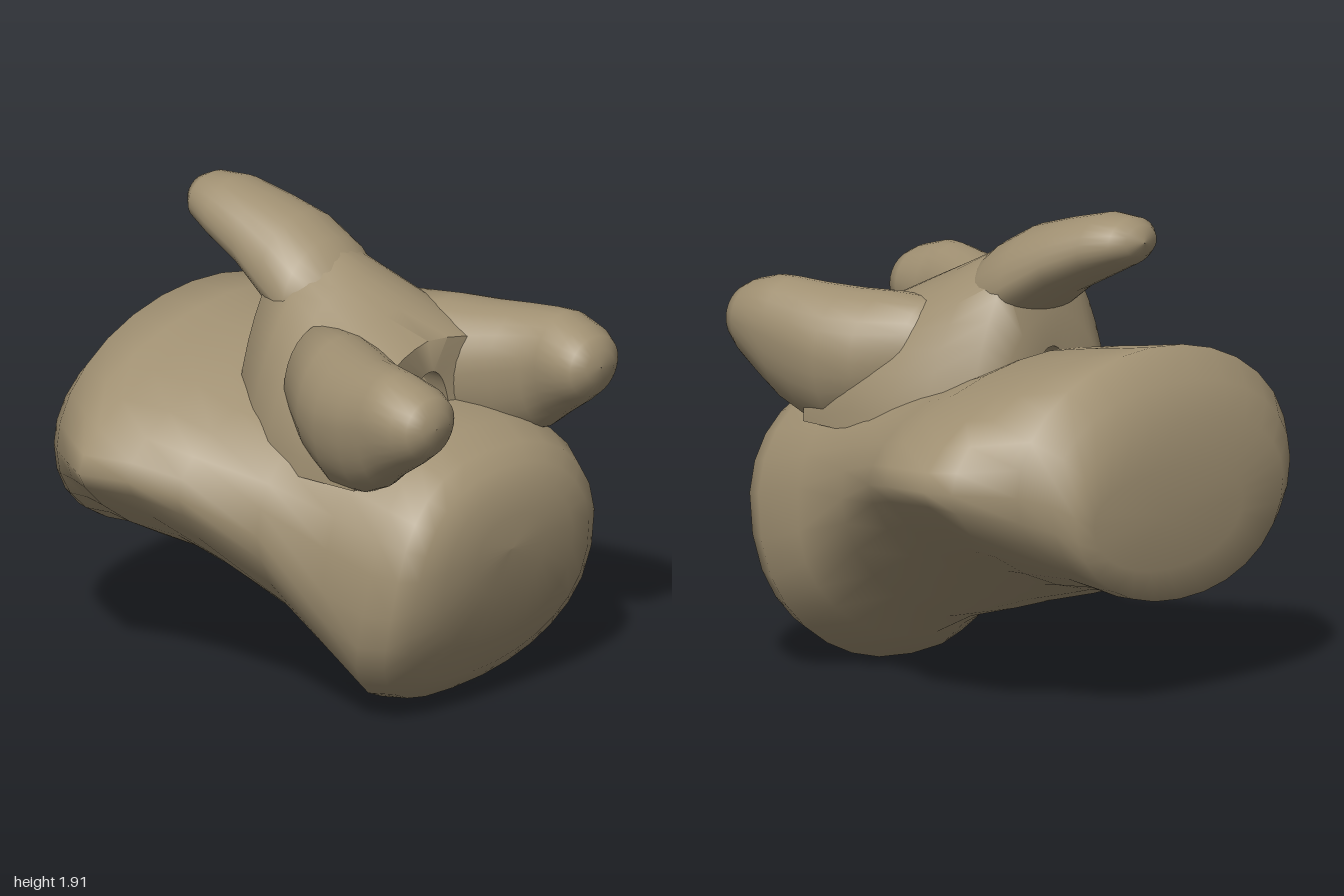
import * as THREE from 'three';
import { toCreasedNormals } from 'three/addons/utils/BufferGeometryUtils.js';

const SIDES = 28;

// Closed loft along z. Each row:
// [z, centreX, widestY, halfWidth, topY, bottomY, roundness, bow, lowerRoundness]
// bow pulls the section back as it leaves y = 0.82, for the bulging front face.
function loft(rows) {
  const pos = [], index = [];
  rows.forEach(([z, cx, cy, w, top, bottom, nTop = 2, bow = 0, nLow = nTop], i) => {
    for (let j = 0; j < SIDES; j++) {
      const a = (j / SIDES) * Math.PI * 2, c = Math.cos(a), s = Math.sin(a);
      const n = s > 0 ? nTop : nLow;
      const x = cx + w * Math.sign(c) * Math.abs(c) ** (2 / n);
      const y = cy + (s > 0 ? top - cy : bottom - cy) * Math.abs(s) ** (2 / n);
      pos.push(x, y, z - bow * (y - 0.82) ** 2);
      if (i < rows.length - 1) {
        const k = i * SIDES + j, l = i * SIDES + (j + 1) % SIDES;
        index.push(k, k + SIDES, l, l, k + SIDES, l + SIDES);
      }
    }
  });
  const g = new THREE.BufferGeometry();
  g.setAttribute('position', new THREE.Float32BufferAttribute(pos, 3));
  g.setIndex(index);
  g.computeVertexNormals();
  return g;
}

// Arch over the canal: a band swept from one side to the other.
// Loop points: [z, halfWidth, topY, forwardSweep, slope], outer surface first, then the canal wall.
function archGeometry() {
  const loop = [
    [-0.28, 0.31, 1.48, 0, 1], [-0.21, 0.4, 1.77, 0, 1.15], [-0.05, 0.49, 1.725, 0, 1.15],
    [0.1, 0.55, 1.65, 0, 1.1], [0.3, 0.57, 1.555, 0, 1], [0.46, 0.54, 1.46, 0.2, 0.9],
    [0.47, 0.12, 1.33, 0, 0.85], [0.1, 0.11, 1.32, 0, 0.85], [-0.28, 0.11, 1.34, 0, 0.85],
  ];
  const steps = 22, n = loop.length, pos = [], index = [];
  for (let i = 0; i <= steps; i++) {
    const a = (i / steps) * Math.PI, c = Math.cos(a), s = Math.max(0, Math.sin(a));
    loop.forEach(([z, w, top, sweep, e], j) => {
      const x = w * Math.sign(c) * Math.abs(c) ** e;
      pos.push(x, 1 + (top - 1) * s ** e, z + sweep * Math.abs(x));
      if (i < steps) {
        const k = i * n + j, l = i * n + (j + 1) % n;
        index.push(k, k + n, l, l, k + n, l + n);
      }
    });
  }
  const g = new THREE.BufferGeometry();
  g.setAttribute('position', new THREE.Float32BufferAttribute(pos, 3));
  g.setIndex(index);
  return toCreasedNormals(g, 1);
}

export function createModel() {
  const model = new THREE.Group();
  const bone = new THREE.MeshStandardMaterial({ color: 0xa09072 });
  bone.name = 'bone';
  const add = (name, geometry) => {
    const m = new THREE.Mesh(geometry, bone);
    m.name = name;
    model.add(m);
  };

  // Main body: rounded front face, flared sides, broad domed rear
  add('body', loft([
    [0.925, 0, 0.7, 0.001, 0.701, 0.699, 2, 0.38],
    [0.925, 0, 0.68, 0.2, 0.84, 0.5, 2.2, 0.38],
    [0.915, 0, 0.6, 0.37, 0.95, 0.28, 2.3, 0.38],
    [0.885, 0, 0.55, 0.5, 1.03, 0.12, 2.3, 0.38],
    [0.83, 0.01, 0.52, 0.58, 1.09, 0.02, 2.4, 0.38],
    [0.72, 0.02, 0.52, 0.635, 1.15, 0, 2.4, 0.38],
    [0.5, 0.01, 0.58, 0.645, 1.19, 0.1, 2.4, 0.3, 2.2],
    [0.2, 0, 0.76, 0.71, 1.2, 0.19, 2.2, 0.1, 1.75],
    [-0.1, 0.01, 0.88, 0.86, 1.25, 0.26, 1.9, 0, 1.45],
    [-0.3, 0.03, 0.92, 0.96, 1.33, 0.32, 1.75, 0, 1.38],
    [-0.5, -0.01, 0.92, 0.99, 1.36, 0.37, 1.7, 0, 1.4],
    [-0.63, 0.01, 0.92, 0.94, 1.38, 0.41, 1.8, 0, 1.6],
    [-0.79, -0.04, 0.9, 0.78, 1.4, 0.43, 2],
    [-0.9, -0.03, 0.87, 0.69, 1.27, 0.41, 2.1],
    [-0.965, -0.01, 0.82, 0.6, 1.14, 0.41, 2.1],
    [-1, 0.09, 0.78, 0.43, 0.95, 0.55, 2.1],
    [-1, 0.09, 0.76, 0.001, 0.761, 0.759],
  ]));

  add('arch', archGeometry());

  // Rear-pointing spine rising off the arch
  add('spine', loft([
    [0.1, -0.01, 1.5, 0.001, 1.501, 1.499],
    [0.05, -0.01, 1.5, 0.2, 1.66, 1.38],
    [-0.08, -0.01, 1.52, 0.26, 1.755, 1.4],
    [-0.22, -0.01, 1.6, 0.25, 1.83, 1.45],
    [-0.38, -0.03, 1.7, 0.215, 1.875, 1.57],
    [-0.54, -0.05, 1.77, 0.185, 1.912, 1.65],
    [-0.66, -0.06, 1.8, 0.14, 1.905, 1.71],
    [-0.71, -0.06, 1.81, 0.09, 1.88, 1.75],
    [-0.73, -0.06, 1.81, 0.001, 1.811, 1.809],
  ]));

  // Pair of knobbed forward horns, converging on the arch
  for (const [name, s, out] of [['leftHorn', 1, 0], ['rightHorn', -1, 0.09]]) {
    add(name, loft([
      [1, 0.43, 1.37, 0.001, 1.371, 1.369],
      [0.995, 0.43, 1.37, 0.08, 1.44, 1.31],
      [0.96, 0.43, 1.37, 0.14, 1.49, 1.24],
      [0.9, 0.435, 1.37, 0.17, 1.52, 1.19],
      [0.79, 0.445, 1.36, 0.18, 1.55, 1.11],
      [0.72, 0.435, 1.34, 0.185, 1.55, 1.05],
      [0.6, 0.41, 1.31, 0.21, 1.54, 0.99],
      [0.45, 0.36, 1.28, 0.25, 1.53, 0.95],
      [0.3, 0.31, 1.27, 0.25, 1.53, 1.0],
      [0.12, 0.26, 1.3, 0.2, 1.52, 1.1],
      [-0.05, 0.2, 1.3, 0.001, 1.301, 1.299],
    ].map(([z, x, ...rest]) => [z, s * (x + out * Math.max(0, z)), ...rest])));
  }
  return model;
}
